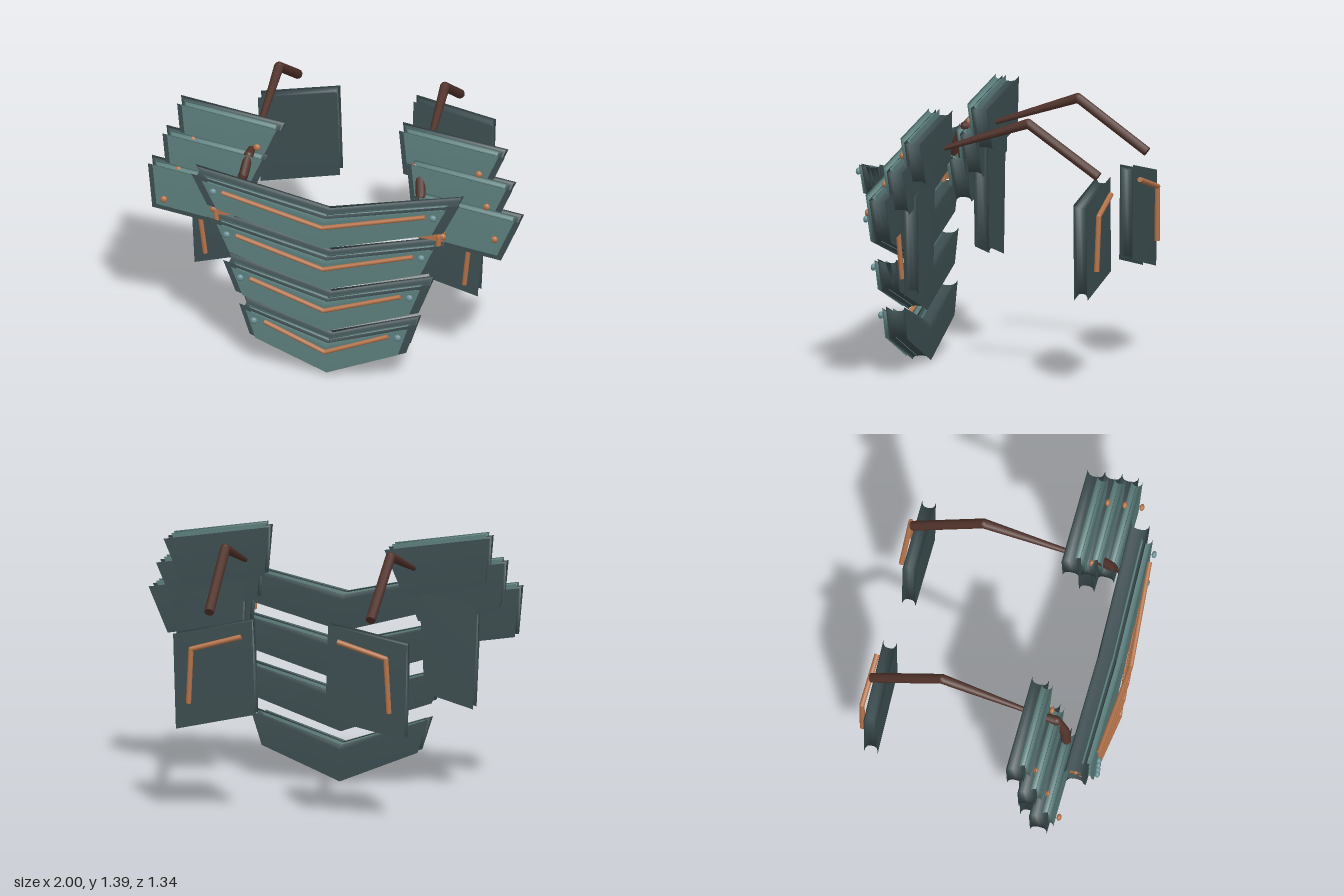
import * as THREE from 'three';

const mat = (name, color, side = THREE.FrontSide) => {
  const m = new THREE.MeshStandardMaterial({ color, side });
  m.name = name;
  return m;
};

// Plate with flared, thin-edged rims: outline is counter-clockwise, inset is the depth of the waist
function flaredPlate(outline, center, zBack, zFront, inset) {
  const n = outline.length, pos = [], index = [];
  const depth = zFront - zBack, flare = depth * 0.36;
  const dir = outline.map((p, i) => {
    const a = outline[(i + n - 1) % n], b = outline[(i + 1) % n];
    const n1 = new THREE.Vector2(a[1] - p[1], p[0] - a[0]).normalize();
    const n2 = new THREE.Vector2(p[1] - b[1], b[0] - p[0]).normalize();
    const m = n1.clone().add(n2);
    return m.multiplyScalar(1 / Math.max(0.5, 1 + n1.dot(n2)));
  });
  const rings = [];
  for (let k = 0; k <= 3; k++) {
    const t = (k / 3) * Math.PI / 2;
    rings.push([inset * Math.sin(t), flare * Math.cos(t)]);
  }
  const all = [
    ...rings.map(([s, z]) => [s, zFront - flare + z]),
    ...rings.slice().reverse().map(([s, z]) => [s, zBack + flare - z]),
  ];
  for (const [s, z] of all)
    outline.forEach((p, i) => pos.push(p[0] + dir[i].x * s, p[1] + dir[i].y * s, z));
  const front = all.length * n, last = (all.length - 1) * n;
  pos.push(center[0], center[1], zFront, center[0], center[1], zBack);
  for (let i = 0; i < n; i++) {
    const j = (i + 1) % n;
    for (let k = 0; k < all.length - 1; k++) {
      const a = k * n + i, b = k * n + j, c = a + n, d = b + n;
      index.push(a, c, b, b, c, d);
    }
    index.push(front, i, j, front + 1, last + j, last + i);
  }
  const g = new THREE.BufferGeometry();
  g.setAttribute('position', new THREE.Float32BufferAttribute(pos, 3));
  g.setIndex(index);
  g.computeVertexNormals();
  return g;
}

const mirrorOutline = (pts, s) => (s > 0 ? pts : pts.map(([x, y]) => [-x, y]).reverse());
const average = (pts) => [0, 1].map((k) => pts.reduce((sum, p) => sum + p[k], 0) / pts.length);

export function createModel() {
  const root = new THREE.Group();
  root.name = 'layeredArmour';
  const teal = mat('teal plate', 0x5c7f7d);
  const dark = mat('dark plate', 0x3c4d50);
  const copper = mat('copper trim', 0xb4734a);
  const leather = mat('brown strap', 0x50322a);
  const stud = mat('pale teal stud', 0x6b9096);

  const add = (parent, name, geometry, material) => {
    const m = new THREE.Mesh(geometry, material);
    m.name = name;
    parent.add(m);
    return m;
  };
  const group = (name) => {
    const g = new THREE.Group();
    g.name = name;
    root.add(g);
    return g;
  };
  const rivet = (parent, name, x, y, z, material) => {
    const m = add(parent, name, new THREE.SphereGeometry(0.019, 12, 8), material);
    m.position.set(x, y, z);
    m.scale.z = 0.7;
  };
  // Straight rods joined with round elbows; each point is x, y, z, radius
  const rod = (parent, name, points, material) => {
    const g = new THREE.Group();
    g.name = name;
    parent.add(g);
    for (let i = 0; i < points.length - 1; i++) {
      const a = new THREE.Vector3(...points[i]), b = new THREE.Vector3(...points[i + 1]);
      const d = b.clone().sub(a);
      const m = add(g, name + 'Section', new THREE.CylinderGeometry(points[i + 1][3], points[i][3], d.length(), 10), material);
      m.position.copy(a).add(b).multiplyScalar(0.5);
      m.quaternion.setFromUnitVectors(new THREE.Vector3(0, 1, 0), d.normalize());
      if (i > 0) add(g, name + 'Elbow', new THREE.SphereGeometry(points[i][3], 10, 8), material).position.copy(a);
    }
  };

  // Chest: four chevron bands, narrower towards the bottom
  for (let i = 0; i < 4; i++) {
    const g = group('chestBand' + (i + 1));
    const w = 0.72 - 0.081 * i, y = 0.79 - 0.263 * i, dz = -0.02 * i;
    const chevron = [[0, 0], [w * 0.88, 0.17], [w, 0.345], [0, 0.19], [-w, 0.345], [-w * 0.88, 0.17]];
    const place = (k, up) => chevron.map(([px, py]) => [px * k, y + up + py * (k + 0.02)]);
    add(g, 'chestBackPlate', flaredPlate(place(1, 0), [0, y + 0.165], 0.476 + dz, 0.577 + dz, 0.02), dark);
    add(g, 'chestFrontPlate', flaredPlate(place(0.91, 0.015), [0, y + 0.165], 0.55 + dz, 0.61 + dz, 0.018), teal);
    const e = w - 0.175 + i * 0.01, r = 0.012;
    rod(g, 'chestTrim', [
      [-e, y + 0.285, 0.62 + dz, r], [0, y + 0.165, 0.655 + dz, r], [e, y + 0.285, 0.62 + dz, r],
    ], copper);
    for (const s of [-1, 1]) rivet(g, 'chestStud', s * (w - 0.13 + i * 0.013), y + 0.29, 0.632 + dz, stud);
  }

  const shoulder = [[-0.223, -0.157], [0.223, -0.157], [0.287, 0.097], [-0.287, 0.097]];
  const shoulderFront = shoulder.map(([x, y]) => [x * 0.9, y * 0.9 + 0.025]);
  const sidePanel = [[0.5, 0.53], [0.76, 0.455], [0.785, 1.0], [0.47, 1.08]];
  const backPanel = [[0.19, 0.55], [0.615, 0.455], [0.63, 0.96], [0.205, 1.05]];

  for (const s of [-1, 1]) {
    const side = s > 0 ? 'left' : 'right';

    // Shoulder: three overlapping plates, all tilted the same way
    for (let i = 0; i < 3; i++) {
      const g = group(side + 'ShoulderPlate' + (i + 1));
      g.position.set(s * (0.595 + 0.06 * i), 1.24 - 0.145 * i, 0.2 + 0.077 * i);
      const tilted = new THREE.Group();
      tilted.name = 'shoulderLayers';
      tilted.rotation.z = -0.157;
      g.add(tilted);
      add(tilted, 'shoulderBackPlate', flaredPlate(shoulder, [0, -0.03], 0, 0.09, 0.02), dark);
      add(tilted, 'shoulderFrontPlate', flaredPlate(shoulderFront, [0, -0.003], 0.06, 0.117, 0.018), teal);
      for (const k of [-1, 1]) rivet(g, 'shoulderRivet', k * 0.172, -0.037, 0.138, copper);
    }

    // Hanging side panel with bent trim
    const p = group(side + 'SidePanel');
    const sp = mirrorOutline(sidePanel, s);
    add(p, 'sidePlate', flaredPlate(sp, average(sp), 0.25, 0.33, 0.025), dark);
    rod(p, 'sideTrim', [
      [s * 0.54, 0.94, 0.36, 0.013], [s * 0.73, 0.86, 0.378, 0.013], [s * 0.695, 0.54, 0.362, 0.013],
    ], copper);

    // Shoulder-blade panel with bent trim
    const b = group(side + 'BackPanel');
    const bp = mirrorOutline(backPanel, s);
    add(b, 'backPlate', flaredPlate(bp, average(bp), -0.625, -0.553, 0.026), dark);
    rod(b, 'backTrim', [
      [s * 0.26, 0.965, -0.645, 0.014], [s * 0.525, 0.89, -0.66, 0.014], [s * 0.54, 0.6, -0.653, 0.014],
    ], copper);

    // Strap over the shoulder, thin where it meets the shoulder plates
    const t = group(side + 'Strap');
    rod(t, 'rearStrap', [
      [s * 0.455, 1.185, 0.25, 0.012], [s * 0.445, 1.35, -0.25, 0.026], [s * 0.435, 1.085, -0.63, 0.026],
    ], leather);
    rod(t, 'frontStrap', [
      [s * 0.455, 1.185, 0.25, 0.012], [s * 0.46, 1.17, 0.37, 0.026],
      [s * 0.475, 1.08, 0.42, 0.026], [s * 0.53, 0.92, 0.45, 0.026],
    ], leather);

    // Copper clasp joining the strap to the chest
    const clasp = add(t, 'strapClasp', new THREE.BoxGeometry(0.15, 0.05, 0.03), copper);
    clasp.position.set(s * 0.545, 0.9, 0.495);
    clasp.rotation.z = -s * 0.08;
    rod(t, 'claspPin', [[s * 0.6, 0.915, 0.53, 0.014], [s * 0.59, 0.8, 0.535, 0.014]], copper);
    rivet(t, 'claspRivet', s * 0.615, 0.905, 0.515, copper);
  }
  return root;
}
